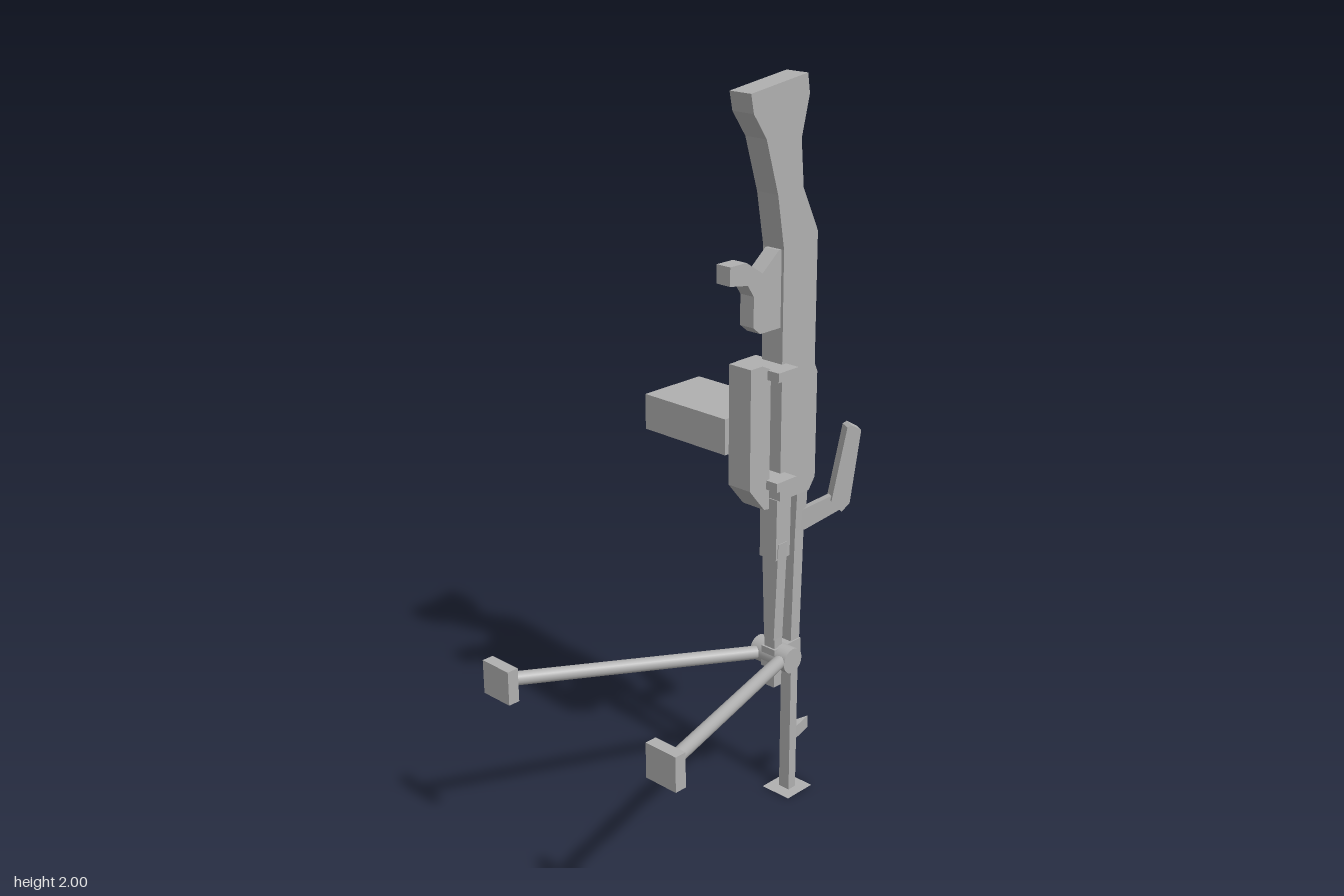
import * as THREE from 'three';

const grey = new THREE.MeshStandardMaterial({ color: 0xb0b0b0 });
grey.name = 'grey metal';
const greyPlate = grey.clone();
greyPlate.side = THREE.DoubleSide;

export function createModel() {
  const root = new THREE.Group();

  function add(name, geometry, material = grey) {
    const mesh = new THREE.Mesh(geometry, material);
    mesh.name = name;
    root.add(mesh);
    return mesh;
  }

  // Box given by its limits; taper scales the bottom end in x
  function box(name, x0, x1, y0, y1, z0, z1, taper = 1) {
    const g = new THREE.BoxGeometry(x1 - x0, y1 - y0, z1 - z0);
    const p = g.attributes.position;
    for (let i = 0; i < p.count; i++) if (p.getY(i) < 0) p.setX(i, p.getX(i) * taper);
    g.computeVertexNormals();
    g.translate((x0 + x1) / 2, (y0 + y1) / 2, (z0 + z1) / 2);
    return add(name, g);
  }

  const extrude = (points, depth) => new THREE.ExtrudeGeometry(
    new THREE.Shape(points.map(([a, b]) => new THREE.Vector2(a, b))),
    { depth, bevelEnabled: false });

  // Side outline of [z, y] points, extruded from x0 to x1
  function sidePart(name, points, x0, x1) {
    add(name, extrude(points, x1 - x0).rotateY(-Math.PI / 2).translate(x1, 0, 0));
  }

  // Round bar between two points
  function bar(name, from, to, radius) {
    const a = new THREE.Vector3(...from), b = new THREE.Vector3(...to);
    const m = add(name, new THREE.CylinderGeometry(radius, radius, a.distanceTo(b), 20));
    m.position.copy(a).add(b).multiplyScalar(0.5);
    m.quaternion.setFromUnitVectors(new THREE.Vector3(0, 1, 0), b.sub(a).normalize());
  }

  // Stock and receiver
  sidePart('stockAndReceiver', [
    [-0.10, 1.973], [-0.11, 1.925], [-0.156, 1.86], [-0.2, 1.72], [-0.225, 1.58],
    [-0.225, 0.912], [-0.34, 0.912], [-0.363, 0.944], [-0.363, 1.236], [-0.352, 1.26],
    [-0.352, 1.607], [-0.294, 1.724], [-0.283, 1.846], [-0.31, 1.95], [-0.302, 2.0]
  ], -0.032, 0.037);

  // Grip and trigger housing
  sidePart('grip', [
    [-0.04, 1.57], [-0.098, 1.57], [-0.156, 1.533], [-0.215, 1.58], [-0.23, 1.58],
    [-0.23, 1.38], [-0.15, 1.38], [-0.125, 1.40], [-0.125, 1.48], [-0.103, 1.512],
    [-0.04, 1.522]
  ], -0.016, 0.029);

  // Fore guard on two cross brackets
  sidePart('foreGuard', [
    [-0.103, 1.30], [-0.145, 1.30], [-0.177, 1.285], [-0.177, 0.907], [-0.158, 0.91],
    [-0.103, 0.976]
  ], -0.032, 0.042);
  for (const y of [0.965, 1.26]) box('bracket', -0.066, 0.079, y, y + 0.025, -0.24, -0.165);

  // Side box
  box('sideBox', -0.348, -0.058, 1.045, 1.143, -0.322, -0.117);

  // Lower tube
  box('tubeCollar', -0.03, 0.03, 0.74, 0.912, -0.277, -0.222, 0.95);
  box('tube', -0.027, 0.031, 0.5, 0.785, -0.264, -0.229, 0.6);
  box('tubeEnd', -0.016, 0.02, 0.355, 0.5, -0.262, -0.232);

  // Barrel in three steps, with end plate and sight blade
  box('barrelBase', -0.03, 0.034, 0.8, 0.915, -0.338, -0.297, 0.85);
  box('barrelMiddle', -0.025, 0.029, 0.44, 0.8, -0.332, -0.297, 0.7);
  box('barrelFront', -0.016, 0.02, 0, 0.44, -0.33, -0.302);
  add('endPlate', new THREE.PlaneGeometry(0.095, 0.1).rotateX(-Math.PI / 2)
    .translate(0.003, 0.001, -0.315), greyPlate);
  add('sightBlade', extrude([[-0.016, 0.325], [0.02, 0.325], [0.002, 0.4]], 0.038)
    .rotateX(-Math.PI / 2).translate(0, 0.155, 0));

  // Carrying handle, turned outward from the barrel
  function handlePart(name, points, width) {
    add(name, extrude(points, width).translate(0, 0, -width / 2)
      .rotateY(Math.PI / 3).translate(0.013, 0, -0.31));
  }
  handlePart('handleArm', [[0, 0.80], [0.028, 0.80], [0.13, 0.848], [0.1, 0.888], [0, 0.85]], 0.02);
  handlePart('handleGrip', [
    [0.098, 0.875], [0.128, 0.843], [0.15, 0.865], [0.176, 1.07], [0.148, 1.086], [0.137, 1.08]
  ], 0.036);

  // Folding support: hub, clamp, legs and feet
  bar('hub', [-0.062, 0.442, -0.26], [0.062, 0.442, -0.26], 0.036);
  box('clamp', -0.022, 0.026, 0.413, 0.473, -0.333, -0.226);
  for (const s of [-1, 1]) {
    bar('leg', [s * 0.042, 0.444, -0.225], [s * 0.297, 0.528, 0.45], 0.0185);
    box('foot', s * 0.296 - 0.049, s * 0.296 + 0.049, 0.482, 0.576, 0.442, 0.475);
  }

  return root;
}
